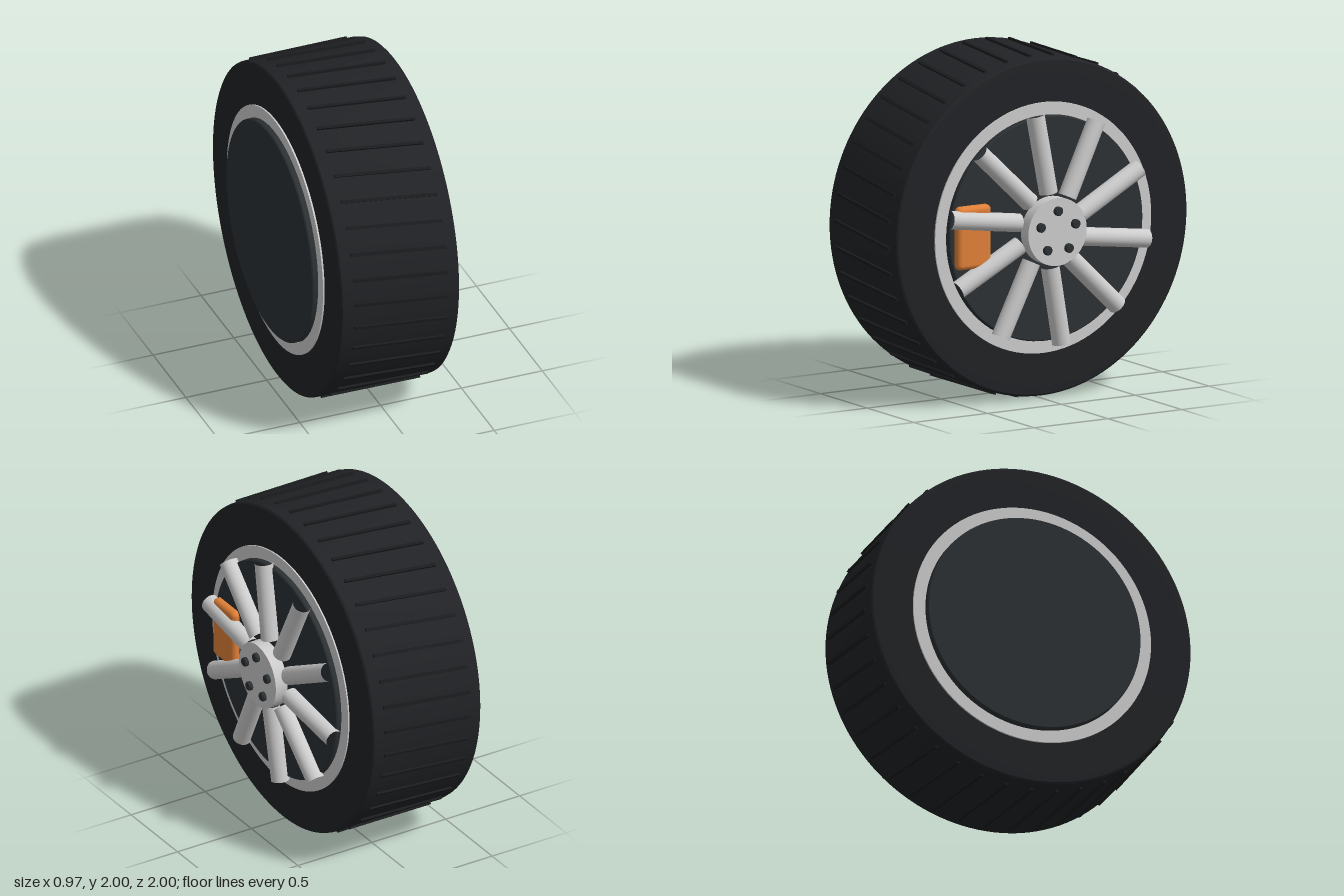
import * as THREE from 'three';
import { toCreasedNormals } from 'three/addons/utils/BufferGeometryUtils.js';
import { RoundedBoxGeometry } from 'three/addons/geometries/RoundedBoxGeometry.js';

const mat = (color) => new THREE.MeshStandardMaterial({ color });
const metal = mat(0xcccccc);
const rubber = mat(0x202225);
const treadRubber = mat(0x1a1b1d);
const darkSteel = mat(0x2b3033);
const orange = mat(0xe08038);

function add(parent, name, geometry, material) {
  const mesh = new THREE.Mesh(geometry, material);
  mesh.name = name;
  parent.add(mesh);
  return mesh;
}

// Lathe around the axle (x); profile points are [radius, x]
function turned(points, segments = 96) {
  const profile = points.map(([r, x]) => new THREE.Vector2(r, x));
  const geometry = new THREE.LatheGeometry(profile, segments).rotateZ(-Math.PI / 2);
  return toCreasedNormals(geometry, 0.5);
}

// Point at radius r, angle a clockwise from the top as seen from +x
const polar = (x, r, a) => new THREE.Vector3(x, r * Math.cos(a), -r * Math.sin(a));

export function createModel() {
  const model = new THREE.Group();
  model.name = 'wheel';
  const wheel = new THREE.Group();
  wheel.name = 'wheelAssembly';
  wheel.position.y = 1;
  model.add(wheel);

  // Tyre with slightly rounded shoulders
  add(wheel, 'tyre', turned([
    [0.7, -0.44], [0.93, -0.44], [0.973, -0.437], [0.983, -0.43], [0.986, -0.415],
    [0.986, 0.27], [0.983, 0.285], [0.973, 0.293], [0.93, 0.296], [0.7, 0.296], [0.7, -0.44],
  ], 128), rubber);

  // Slanted tread bars around the tyre
  const tread = new THREE.Group();
  tread.name = 'tread';
  wheel.add(tread);
  const barGeometry = new THREE.BoxGeometry(0.582, 0.018, 0.03)
    .rotateZ(-0.12).translate(0, 0, 0.984);
  for (let i = 0; i < 40; i++) {
    const bar = add(tread, 'treadBar', barGeometry, treadRubber);
    bar.position.x = -0.07;
    bar.rotation.x = (i / 40) * Math.PI * 2;
  }

  // Rim barrel and the dark drum inside it
  add(wheel, 'rim', turned([
    [0.658, -0.45], [0.732, -0.45], [0.732, 0.305], [0.658, 0.305], [0.658, -0.45],
  ]), metal);
  add(wheel, 'brakeDrum', turned([
    [0, -0.485], [0.65, -0.485], [0.656, -0.478], [0.656, 0.33], [0.65, 0.337], [0, 0.337],
  ]), darkSteel);

  // Brake caliper
  add(wheel, 'caliper', new RoundedBoxGeometry(0.09, 0.37, 0.23, 4, 0.03), orange)
    .position.set(0.335, 0.005, 0.505);

  // Ten open tubular spokes, slightly skewed from the radius
  const spokes = new THREE.Group();
  spokes.name = 'spokes';
  wheel.add(spokes);
  const inner = polar(0.37, 0.215, THREE.MathUtils.degToRad(-1.5));
  const outer = polar(0.36, 0.68, THREE.MathUtils.degToRad(-7.5));
  const along = outer.clone().sub(inner);
  const middle = inner.clone().add(outer).multiplyScalar(0.5);
  const tilt = new THREE.Quaternion()
    .setFromUnitVectors(new THREE.Vector3(0, 1, 0), along.clone().normalize());
  const spokeGeometry = new THREE.CylinderGeometry(0.054, 0.054, along.length(), 32, 1, true)
    .applyQuaternion(tilt).translate(middle.x, middle.y, middle.z);
  for (let i = 0; i < 10; i++) {
    add(spokes, 'spoke', spokeGeometry, metal).rotation.x = -(i / 10) * Math.PI * 2;
  }

  // Hub cap and its five bolts
  add(wheel, 'hub', turned([
    [0, 0.38], [0.198, 0.38], [0.198, 0.459], [0, 0.459],
  ], 64), metal);
  const boltGeometry = turned([
    [0, 0.44], [0.027, 0.44], [0.027, 0.477], [0.022, 0.483], [0, 0.483],
  ], 24);
  for (let i = 0; i < 5; i++) {
    add(wheel, 'bolt', boltGeometry, darkSteel)
      .position.copy(polar(0, 0.123, (i / 5) * Math.PI * 2));
  }

  return model;
}
